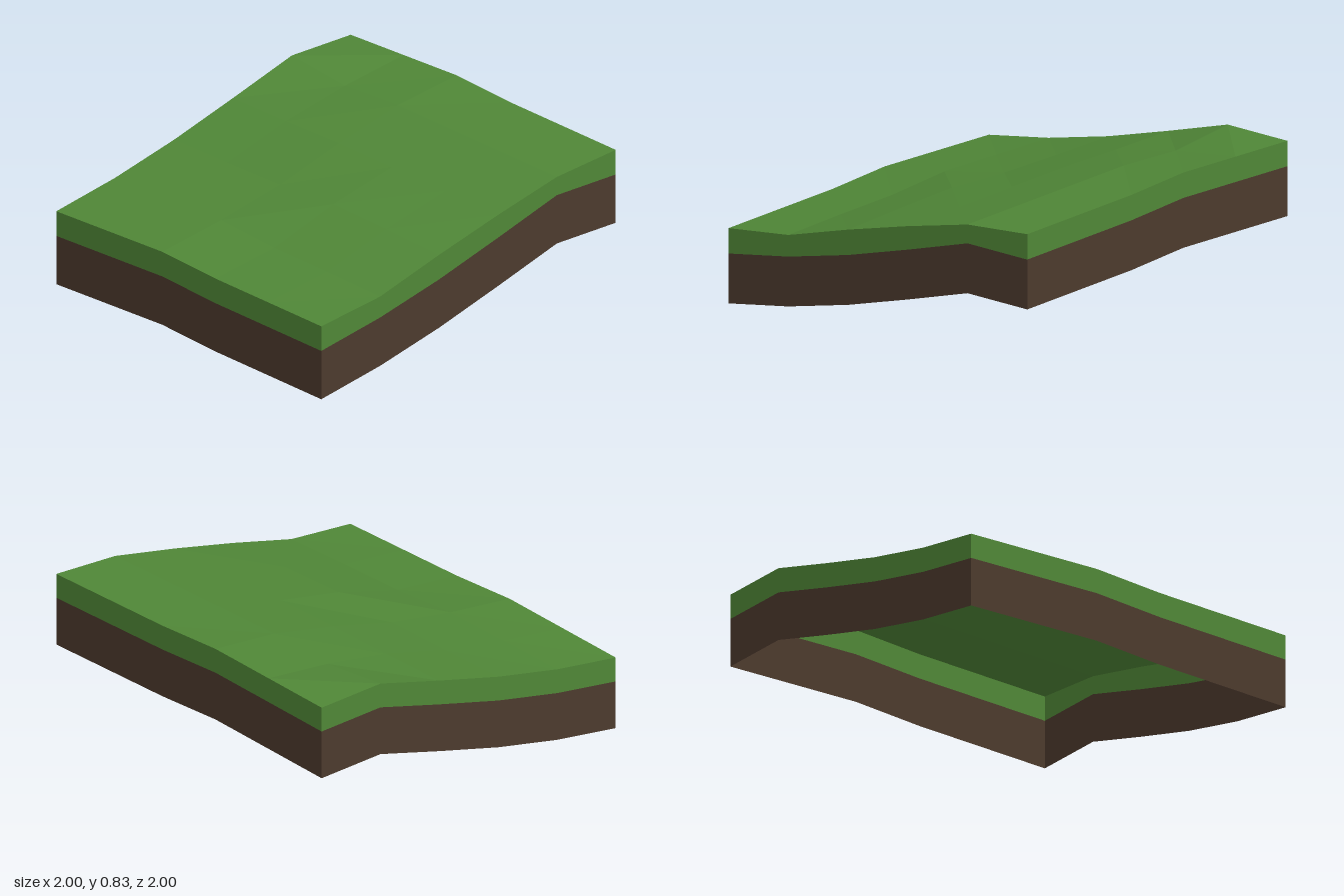
import * as THREE from 'three';

// Surface heights: rows run from back (z = -1) to front (z = 1), columns from x = -1 to x = 1
const HEIGHTS = [
  [0.80, 0.815, 0.83, 0.81, 0.805, 0.80],
  [0.80, 0.76, 0.78, 0.775, 0.77, 0.765],
  [0.68, 0.68, 0.685, 0.68, 0.675, 0.67],
  [0.565, 0.565, 0.57, 0.59, 0.58, 0.565],
  [0.47, 0.48, 0.49, 0.465, 0.46, 0.45],
  [0.40, 0.415, 0.43, 0.41, 0.405, 0.40],
];
const N = 5;
const DEPTH = 0.4;       // full side height
const SOIL = 0.265;      // height of the soil band
const at = (i) => -1 + (2 * i) / N;

// Strip of quads between a lower and an upper line of points
function strip(lower, upper) {
  const pos = [...lower, ...upper].flat();
  const n = lower.length;
  const index = [];
  for (let i = 0; i < n - 1; i++) {
    index.push(i, i + 1, n + i, i + 1, n + i + 1, n + i);
  }
  const geo = new THREE.BufferGeometry();
  geo.setAttribute('position', new THREE.Float32BufferAttribute(pos, 3));
  geo.setIndex(index);
  const flat = geo.toNonIndexed();
  flat.computeVertexNormals();
  return flat;
}

export function createModel() {
  const group = new THREE.Group();
  group.name = 'grassSlope';
  const makeMaterial = (name, color) => {
    const m = new THREE.MeshStandardMaterial({ color, flatShading: true, side: THREE.DoubleSide });
    m.name = name;
    return m;
  };
  const grass = makeMaterial('grass green', 0x508737);
  const soil = makeMaterial('soil brown', 0x4c3a2d);
  const add = (name, geo, mat) => {
    const mesh = new THREE.Mesh(geo, mat);
    mesh.name = name;
    group.add(mesh);
  };

  // Uneven grass surface
  const top = new THREE.PlaneGeometry(2, 2, N, N).rotateX(-Math.PI / 2);
  const p = top.attributes.position;
  for (let i = 0; i < p.count; i++) p.setY(i, HEIGHTS[Math.floor(i / (N + 1))][i % (N + 1)]);
  top.computeVertexNormals();
  add('grassTop', top, grass);

  // Four sides, each a grass band over a soil band; the underside is open.
  // Both flanks share the base line of the left-hand edge in the height table.
  const sides = {
    front: (i) => [i, N],
    right: (i) => [0, i],
    back: (i) => [N - i, 0],
    left: (i) => [N, N - i],
  };
  for (const [side, cell] of Object.entries(sides)) {
    const base = [], middle = [], rim = [];
    for (let i = 0; i <= N; i++) {
      const [c, r] = cell(i);
      const y = HEIGHTS[r][c === N ? 0 : c] - DEPTH;
      base.push([at(c), y, at(r)]);
      middle.push([at(c), y + SOIL, at(r)]);
      rim.push([at(c), HEIGHTS[r][c], at(r)]);
    }
    add(side + 'Soil', strip(base, middle), soil);
    add(side + 'GrassEdge', strip(middle, rim), grass);
  }
  return group;
}
